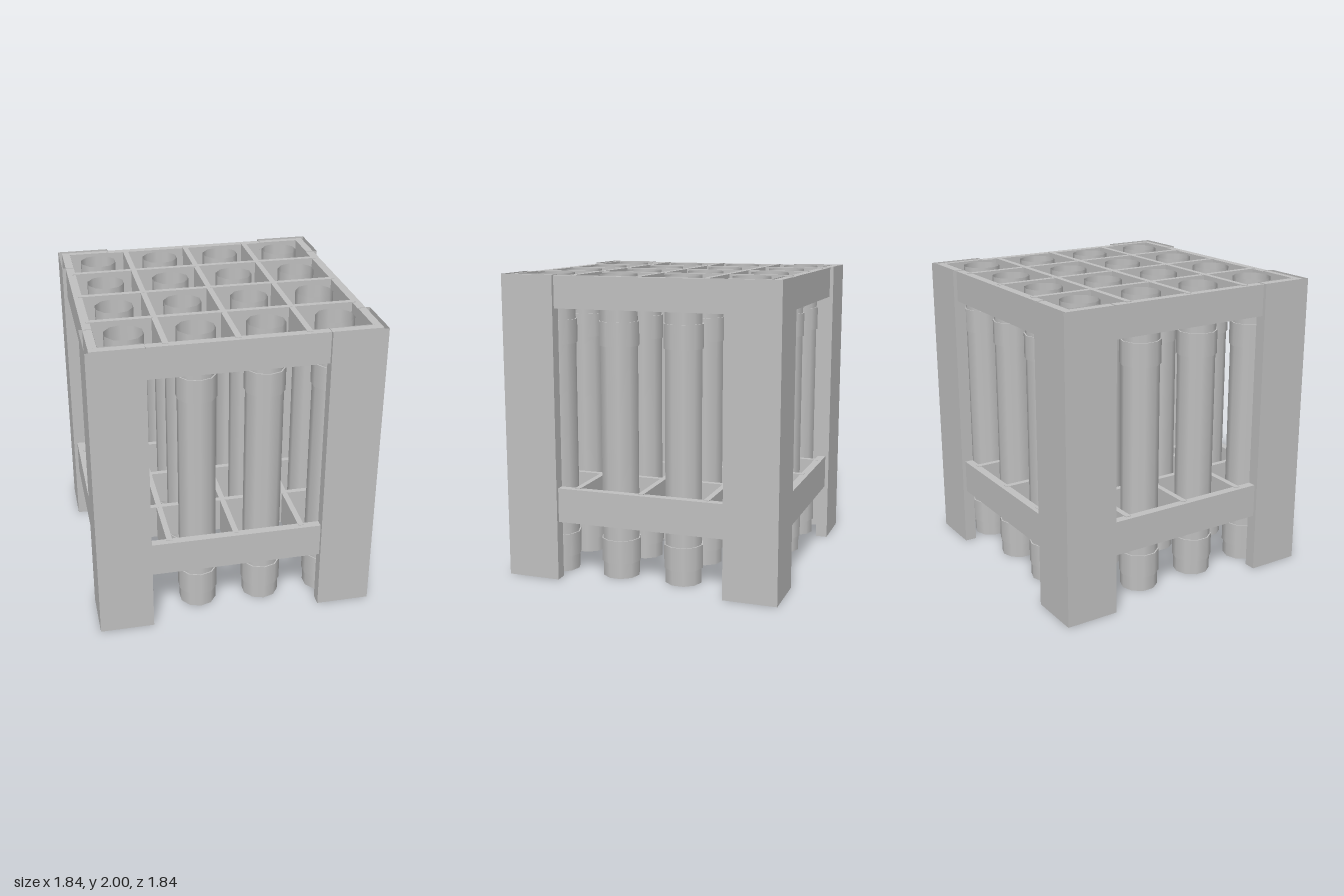
import * as THREE from 'three';

const grey = new THREE.MeshStandardMaterial({ color: 0xbfbfbf, side: THREE.DoubleSide });
grey.name = 'grey';

function add(parent, name, geometry, x = 0, y = 0, z = 0) {
  const mesh = new THREE.Mesh(geometry, grey);
  mesh.name = name;
  mesh.position.set(x, y, z);
  parent.add(mesh);
  return mesh;
}

// Hollow L-section post: upright walls only, open at top and bottom
function legGeometry() {
  const a = 0.565, b = 0.84, c = 0.92, h = 2;
  const outline = [[a, c], [c, c], [c, a], [b, a], [b, b], [a, b]];
  const p = [];
  outline.forEach(([x0, z0], i) => {
    const [x1, z1] = outline[(i + 1) % outline.length];
    p.push(x0, 0, z0, x1, 0, z1, x1, h, z1, x0, 0, z0, x1, h, z1, x0, h, z0);
  });
  const g = new THREE.BufferGeometry();
  g.setAttribute('position', new THREE.Float32BufferAttribute(p, 3));
  g.computeVertexNormals();
  return g;
}

// Rectangular frame with a grid of crossing dividers
function rack(name, bottom, top) {
  const group = new THREE.Group();
  group.name = name;
  const h = top - bottom, y = (top + bottom) / 2;
  const wall = 0.055, mid = 0.868, edge = 0.895;
  for (const s of [-1, 1]) {
    add(group, 'frameRail', new THREE.BoxGeometry(edge * 2, h - 0.008, wall), 0, y, s * mid);
    add(group, 'frameSideRail', new THREE.BoxGeometry(wall, h - 0.008, (edge - wall) * 2), s * mid, y, 0);
  }
  for (const d of [-0.44, 0, 0.44]) {
    add(group, 'crossDivider', new THREE.BoxGeometry(1.73, h, 0.037), 0, y, d);
    add(group, 'lengthDivider', new THREE.BoxGeometry(0.037, h - 0.002, 1.73), d, y, 0);
  }
  return group;
}

export function createModel() {
  const model = new THREE.Group();
  model.name = 'tubeRack';

  // Corner legs
  const leg = legGeometry();
  for (let i = 0; i < 4; i++) add(model, 'cornerLeg', leg).rotation.y = i * Math.PI / 2;

  // Upper and lower racks
  model.add(rack('upperRack', 1.785, 2), rack('lowerRack', 0.385, 0.62));

  // Four by four open tubes, each with two solid collars
  const tube = new THREE.CylinderGeometry(0.124, 0.124, 2, 10, 1, true);
  const collar = new THREE.CylinderGeometry(0.133, 0.133, 0.157, 10);
  const spots = [-0.66, -0.22, 0.22, 0.66];
  for (const x of spots) {
    for (const z of spots) {
      add(model, 'tube', tube, x, 1, z);
      add(model, 'upperCollar', collar, x, 1.622, z);
      add(model, 'lowerCollar', collar, x, 0.181, z);
    }
  }
  return model;
}
